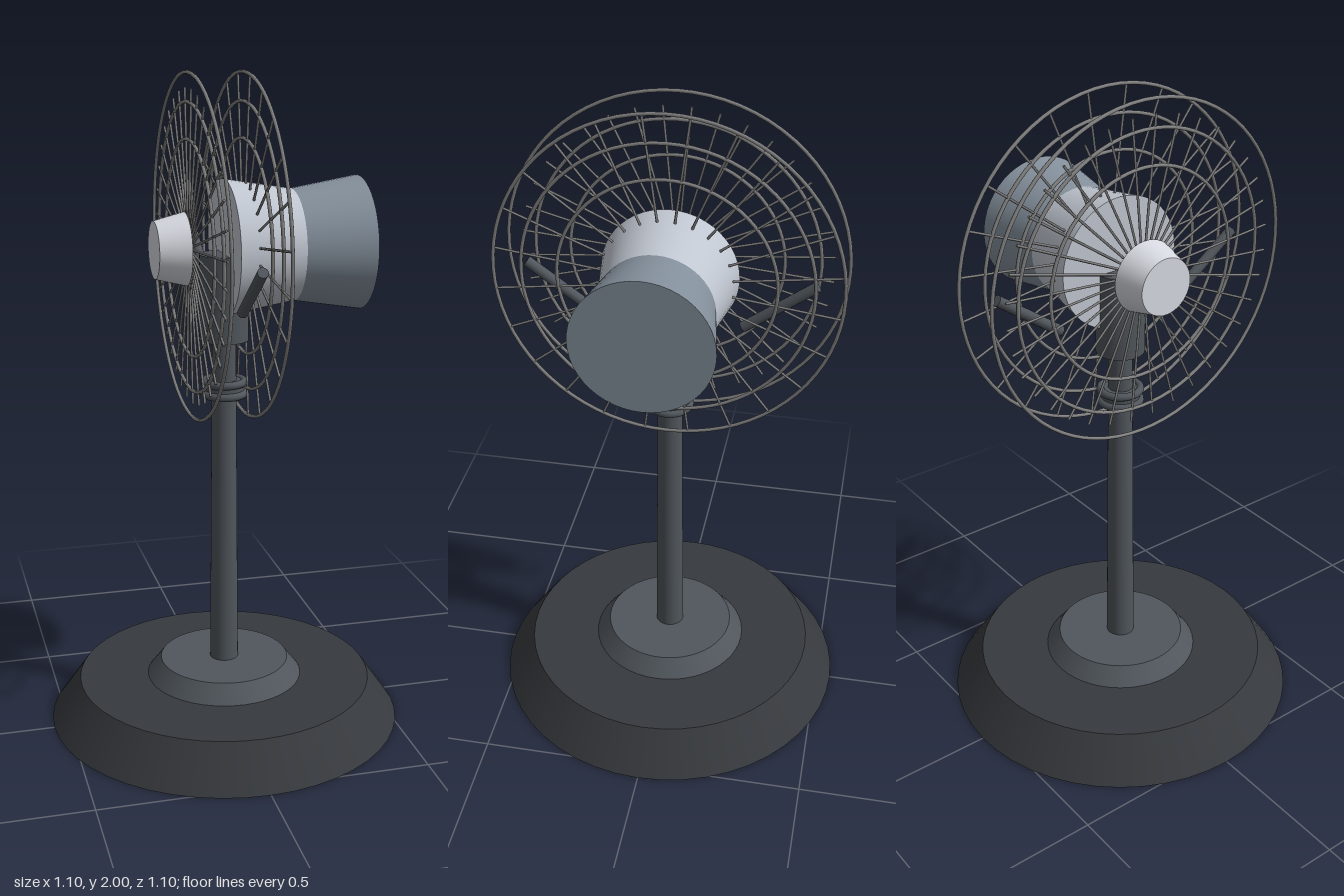
import * as THREE from 'three';

const AXIS_Y = 1.4925; // height of the fan axis

function mat(color) {
  return new THREE.MeshStandardMaterial({ color });
}

const DARK = mat(0x36393d);
const STEEL = mat(0x50565c);
const SILVER = mat(0xc0c6d0);
const SLATE = mat(0x84909c);
const PALE = mat(0xd6d9e0);
const WIRE = mat(0x808080);

function add(parent, name, geometry, material) {
  const mesh = new THREE.Mesh(geometry, material);
  mesh.name = name;
  parent.add(mesh);
  return mesh;
}

// Upright tapered drum between two heights
function drum(parent, name, y0, y1, r0, r1, material) {
  const mesh = add(parent, name, new THREE.CylinderGeometry(r1, r0, y1 - y0, 48), material);
  mesh.position.y = (y0 + y1) / 2;
  return mesh;
}

// Tapered drum lying along x, between two x positions
function sideDrum(parent, name, x0, x1, r0, r1, material) {
  const mesh = add(parent, name, new THREE.CylinderGeometry(r1, r0, x1 - x0, 48), material);
  mesh.rotation.z = -Math.PI / 2;
  mesh.position.set((x0 + x1) / 2, AXIS_Y, 0);
  return mesh;
}

// Round bar between two points
function bar(parent, name, a, b, radius, material, sides = 16) {
  const dir = b.clone().sub(a);
  const mesh = add(parent, name, new THREE.CylinderGeometry(radius, radius, dir.length(), sides), material);
  mesh.position.copy(a).add(b).multiplyScalar(0.5);
  mesh.quaternion.setFromUnitVectors(new THREE.Vector3(0, 1, 0), dir.normalize());
  return mesh;
}

// Flat wire guard: concentric rings joined by radial spokes
function guard(name, x, count, inner, outer, offset) {
  const group = new THREE.Group();
  group.name = name;
  group.position.set(x, AXIS_Y, 0);
  for (const radius of [0.502, 0.42, 0.315]) {
    const ring = add(group, 'guardRing', new THREE.TorusGeometry(radius, 0.0055, 8, 72), WIRE);
    ring.rotation.y = Math.PI / 2;
  }
  for (let i = 0; i < count; i++) {
    const t = ((i + offset) / count) * Math.PI * 2;
    const dir = new THREE.Vector3(0, Math.cos(t), Math.sin(t));
    bar(group, 'guardSpoke', dir.clone().multiplyScalar(inner), dir.clone().multiplyScalar(outer), 0.0038, WIRE, 6);
  }
  return group;
}

export function createModel() {
  const model = new THREE.Group();
  model.name = 'pedestalFan';

  // Stepped round base
  drum(model, 'base', 0, 0.13, 0.548, 0.457, DARK);
  drum(model, 'baseStep', 0.13, 0.185, 0.242, 0.2, STEEL);

  // Pole, height collar and neck
  drum(model, 'pole', 0.185, 1.22, 0.044, 0.036, STEEL);
  drum(model, 'collar', 1.045, 1.092, 0.06, 0.06, STEEL);
  for (const y of [1.05, 1.086]) {
    const rim = add(model, 'collarRim', new THREE.TorusGeometry(0.06, 0.012, 10, 40), STEEL);
    rim.rotation.x = Math.PI / 2;
    rim.position.y = y;
  }
  drum(model, 'neck', 1.215, 1.473, 0.073, 0.073, STEEL);

  // Waisted motor housing and front hub
  sideDrum(model, 'motorFront', 0, 0.205, 0.2, 0.166, SILVER);
  sideDrum(model, 'motorBack', 0.205, 0.41, 0.166, 0.2, SLATE);
  sideDrum(model, 'hub', -0.21, -0.118, 0.085, 0.108, PALE);

  // Slanted side arms
  for (const s of [1, -1]) {
    const a = new THREE.Vector3(0, 1.34, 0.213 * s);
    const b = new THREE.Vector3(0, 1.492, 0.42 * s);
    bar(model, 'sideArm', a, b, 0.016, STEEL);
  }

  // Front and rear guards
  model.add(guard('frontGuard', -0.106, 36, 0.05, 0.46, 0.5));
  model.add(guard('rearGuard', 0.058, 24, 0.17, 0.502, 0.5));

  return model;
}
